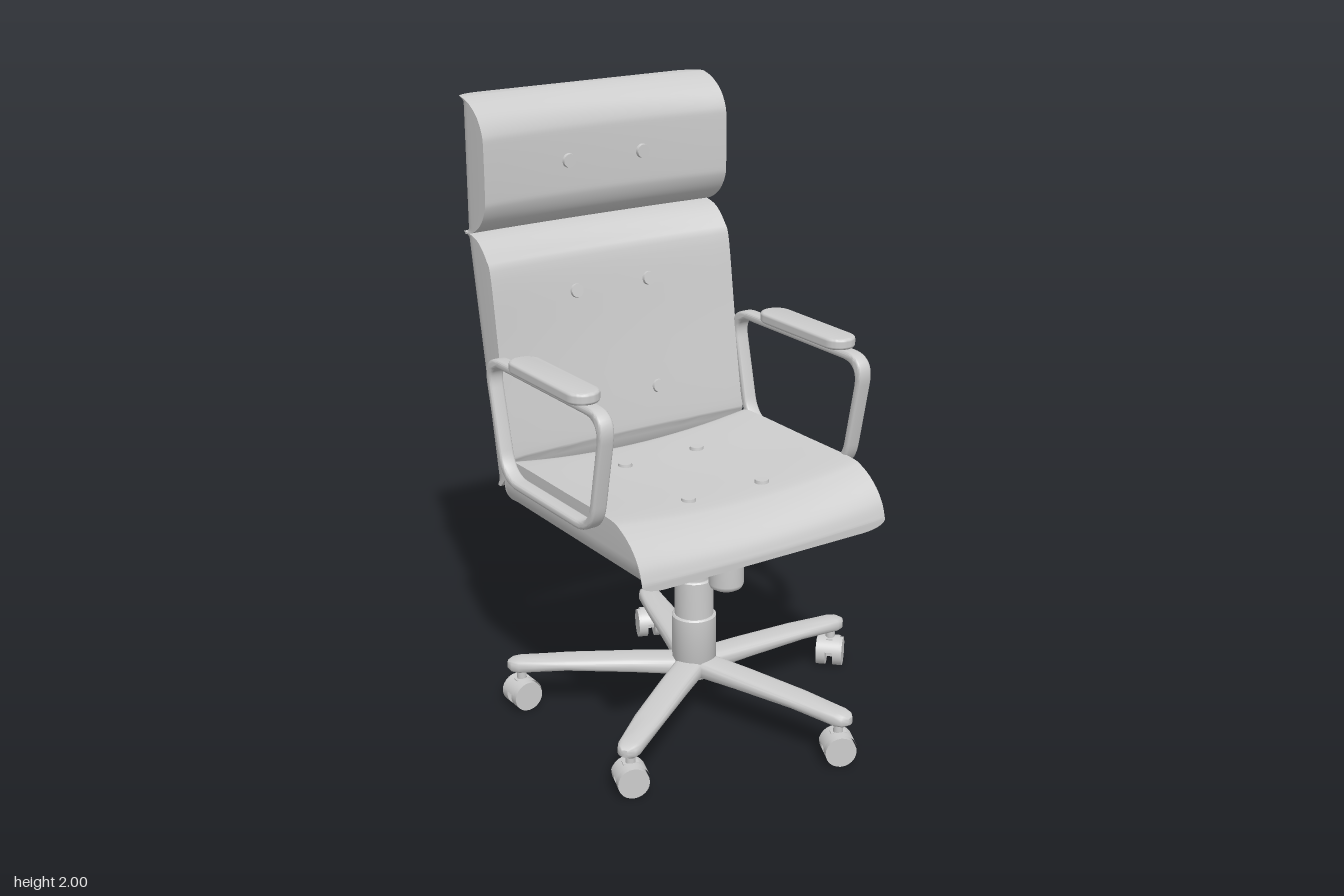
import * as THREE from 'three';
import { toCreasedNormals } from 'three/addons/utils/BufferGeometryUtils.js';

const grey = new THREE.MeshStandardMaterial({ color: 0xcccccc });
grey.name = 'light grey';
const greyThin = new THREE.MeshStandardMaterial({ color: 0xcccccc, side: THREE.DoubleSide });
greyThin.name = 'light grey thin';

const CX = -0.05; // middle of the upholstery
const BX = -0.055, BZ = 0.037; // axis of the swivel base

function add(parent, name, geometry, x = 0, y = 0, z = 0, material = grey) {
  const mesh = new THREE.Mesh(geometry, material);
  mesh.name = name;
  mesh.position.set(x, y, z);
  parent.add(mesh);
  return mesh;
}

// Skin over closed loops of [x, y] points, each loop at its own z
function loft(loops, crease = 0.6) {
  const n = loops[0].points.length, pos = [], index = [];
  loops.forEach(({ points, z }) => points.forEach(([x, y]) => pos.push(x, y, z)));
  for (let i = 0; i < loops.length - 1; i++) {
    for (let j = 0; j < n; j++) {
      const a = i * n + j, b = i * n + (j + 1) % n;
      index.push(a, b, b + n, a, b + n, a + n);
    }
  }
  [0, loops.length - 1].forEach((row) => {
    const { points, z } = loops[row];
    const c = pos.length / 3;
    const ys = points.map((p) => p[1]);
    pos.push(0, (Math.min(...ys) + Math.max(...ys)) / 2, z);
    for (let j = 0; j < n; j++) {
      const a = row * n + j, b = row * n + (j + 1) % n;
      index.push(...(row ? [c, a, b] : [c, b, a]));
    }
  });
  const g = new THREE.BufferGeometry();
  g.setAttribute('position', new THREE.Float32BufferAttribute(pos, 3));
  g.setIndex(index);
  return toCreasedNormals(g, crease);
}

// Padded cushion: profile of [distance, thickness], dished face, rounded rear edges
function cushion(profile, dish) {
  const w = 0.46, rx = 0.09;
  const curve = new THREE.SplineCurve(profile.map((p) => new THREE.Vector2(...p)));
  const hMax = Math.max(...profile.map((p) => p[1]));
  return loft(curve.getPoints(profile.length * 4).map(({ x: z, y: h }) => {
    const ry = Math.min(0.09, h * 0.9), points = [];
    const arc = (side, k) => {
      const a = (k / 8) * Math.PI / 2;
      points.push([side * (w - rx + rx * Math.sin(a)), ry * (1 - Math.cos(a))]);
    };
    for (let k = 0; k <= 8; k++) arc(1, k);
    for (let k = 0; k <= 16; k++) {
      const t = 1 - k / 8;
      points.push([t * w, h - dish * (h / hMax) * (1 - t * t)]);
    }
    for (let k = 8; k >= 0; k--) arc(-1, k);
    return { points, z };
  }));
}

// Polygon with softened corners
function roundedPath(path, corners, r) {
  const v = corners.map((c) => new THREE.Vector2(...c));
  v.forEach((p, i) => {
    const toward = (q) => p.clone().add(q.clone().sub(p).setLength(r));
    const a = toward(v[(i + v.length - 1) % v.length]), b = toward(v[(i + 1) % v.length]);
    if (i) path.lineTo(a.x, a.y); else path.moveTo(a.x, a.y);
    path.quadraticCurveTo(p.x, p.y, b.x, b.y);
  });
  path.closePath();
  return path;
}

function bevelExtrude(shape, depth, bevel) {
  const g = new THREE.ExtrudeGeometry(shape, {
    depth: depth - 2 * bevel, bevelEnabled: true, bevelThickness: bevel,
    bevelSize: bevel, bevelOffset: -bevel, bevelSegments: 3, curveSegments: 12,
  });
  g.translate(0, 0, bevel - depth / 2);
  return toCreasedNormals(g, 0.7);
}

function buttons(group, x, y, z, tilt) {
  for (const dx of [-0.14, 0.14]) {
    add(group, 'button', new THREE.CylinderGeometry(0.022, 0.025, 0.02, 20), x + dx, y, z).rotation.x = tilt;
  }
}

function upholstery(chair) {
  add(chair, 'seat', cushion([[-0.39, 0.09], [-0.375, 0.13], [-0.34, 0.172], [-0.29, 0.183], [0, 0.183],
    [0.25, 0.183], [0.32, 0.168], [0.38, 0.13], [0.42, 0.08], [0.437, 0.03]], 0.035), CX, 0.68, 0);
  const back = add(chair, 'backrest', cushion([[0, 0.04], [0.015, 0.09], [0.04, 0.13], [0.09, 0.165], [0.15, 0.181],
    [0.4, 0.172], [0.7, 0.165], [0.75, 0.155], [0.8, 0.12], [0.838, 0.07]], 0.03), CX, 1.56, -0.637);
  back.rotation.x = 1.391;
  const head = add(chair, 'headrest', cushion([[0, 0.05], [0.015, 0.1], [0.05, 0.15], [0.1, 0.18], [0.15, 0.186],
    [0.29, 0.186], [0.34, 0.18], [0.39, 0.15], [0.425, 0.1], [0.44, 0.05]], 0.03), CX, 2, -0.636);
  head.rotation.x = Math.PI / 2;

  for (const z of [-0.16, 0.207]) buttons(chair, CX, 0.832, z, 0);
  buttons(chair, CX, 0.99, -0.39, 1.4);
  buttons(chair, CX, 1.355, -0.446, 1.4);
  buttons(chair, CX, 1.78, -0.476, Math.PI / 2);

  // Straps joining headrest and backrest
  for (const x of [-0.297, 0.194]) {
    add(chair, 'upperStrap', new THREE.BoxGeometry(0.045, 0.2, 0.01), x, 1.66, -0.639);
    add(chair, 'lowerStrap', new THREE.BoxGeometry(0.045, 0.205, 0.01), x, 1.46, -0.623).rotation.x = -0.18;
  }
}

function armrest(chair, x, name) {
  const arm = new THREE.Group();
  arm.name = name;
  arm.position.x = x;
  chair.add(arm);
  // Loop drawn in (-z, y), then turned to stand along the side
  const loop = roundedPath(new THREE.Shape(), [[-0.225, 0.8], [0.33, 0.8], [0.425, 1.21], [-0.312, 1.21]], 0.1);
  loop.holes.push(roundedPath(new THREE.Path(), [[-0.204, 0.827], [0.308, 0.827], [0.391, 1.183], [-0.279, 1.183]], 0.08));
  add(arm, 'armLoop', bevelExtrude(loop, 0.05, 0.009)).rotation.y = Math.PI / 2;

  const pad = new THREE.Shape();
  pad.absarc(0, 0.167, 0.054, 0, Math.PI);
  pad.absarc(0, -0.167, 0.054, Math.PI, Math.PI * 2);
  add(arm, 'armPad', bevelExtrude(pad, 0.037, 0.01), 0, 1.227, -0.015).rotation.x = Math.PI / 2;
}

function mechanism(chair) {
  add(chair, 'seatPlate', new THREE.BoxGeometry(0.32, 0.02, 0.43), BX, 0.672, 0.095);
  // Housing tapering downwards
  const ring = (w, z0, z1, y) => ({ z: y, points: [[-w, -z1], [w, -z1], [w, -z0], [-w, -z0]] });
  const housing = loft([ring(0.07, 0.0, 0.18, 0.59), ring(0.08, -0.04, 0.25, 0.62), ring(0.08, -0.05, 0.265, 0.665)], 0.3);
  add(chair, 'tiltHousing', housing, BX + 0.005, 0, 0).rotation.x = -Math.PI / 2;
  const knob = [[0, 0.5], [0.04, 0.5], [0.052, 0.507], [0.057, 0.52], [0.057, 0.64]].map((p) => new THREE.Vector2(...p));
  add(chair, 'tensionKnob', new THREE.LatheGeometry(knob, 28), -0.045, 0, 0.205);
  add(chair, 'heightLever', new THREE.CylinderGeometry(0.006, 0.006, 0.2, 10), -0.21, 0.607, 0.06).rotation.z = Math.PI / 2;
}

function caster(parent, x, z, yaw) {
  const c = new THREE.Group();
  c.name = 'caster';
  c.position.set(x, 0, z);
  c.rotation.y = yaw;
  parent.add(c);
  add(c, 'casterStem', new THREE.CylinderGeometry(0.016, 0.016, 0.07, 14), 0, 0.115, 0);
  add(c, 'casterFork', new THREE.BoxGeometry(0.022, 0.065, 0.05), 0, 0.07, 0);
  for (const s of [-1, 1]) {
    add(c, 'wheel', new THREE.CylinderGeometry(0.05, 0.05, 0.032, 24), s * 0.029, 0.05, 0).rotation.z = Math.PI / 2;
  }
  add(c, 'wheelHood', new THREE.CylinderGeometry(0.055, 0.055, 0.07, 20, 1, true, 0.25, Math.PI - 0.5),
    0, 0.05, 0, greyThin).rotation.z = Math.PI / 2;
}

function base(chair) {
  const column = [[0, 0.13], [0.06, 0.13], [0.072, 0.15], [0.073, 0.345], [0.068, 0.35], [0.064, 0.35], [0.064, 0.475],
    [0.06, 0.48], [0.055, 0.48], [0.055, 0.585], [0.05, 0.59], [0, 0.59]].map((p) => new THREE.Vector2(...p));
  add(chair, 'gasColumn', toCreasedNormals(new THREE.LatheGeometry(column, 32), 0.6), BX, 0, BZ);

  // Leg stations: distance, half width, top, bottom
  const stations = [[0, 0.05, 0.2, 0.135], [0.2, 0.049, 0.195, 0.142], [0.42, 0.047, 0.185, 0.145], [0.53, 0.041, 0.179, 0.135],
    [0.58, 0.038, 0.177, 0.13], [0.605, 0.03, 0.173, 0.132], [0.62, 0.012, 0.165, 0.14]];
  const leg = loft(stations.map(([z, w, top, bottom]) => {
    const points = [];
    for (let k = 0; k < 20; k++) {
      const a = (k / 20) * Math.PI * 2, c = Math.cos(a), s = Math.sin(a);
      points.push([w * Math.sign(c) * Math.abs(c) ** 0.6,
        (top + bottom) / 2 + (top - bottom) / 2 * Math.sign(s) * Math.abs(s) ** 0.6]);
    }
    return { points, z };
  }), 0.9);
  [-0.785, -2.0, -1.9, -1.57, -0.4].forEach((yaw, i) => {
    const a = i * Math.PI * 2 / 5;
    add(chair, 'baseLeg', leg, BX, 0, BZ).rotation.y = Math.PI / 2 - a;
    caster(chair, BX + 0.575 * Math.cos(a), BZ + 0.575 * Math.sin(a), yaw);
  });
}

export function createModel() {
  const chair = new THREE.Group();
  chair.name = 'officeChair';
  upholstery(chair);
  armrest(chair, CX + 0.481, 'leftArmrest');
  armrest(chair, CX - 0.481, 'rightArmrest');
  mechanism(chair);
  base(chair);
  return chair;
}
